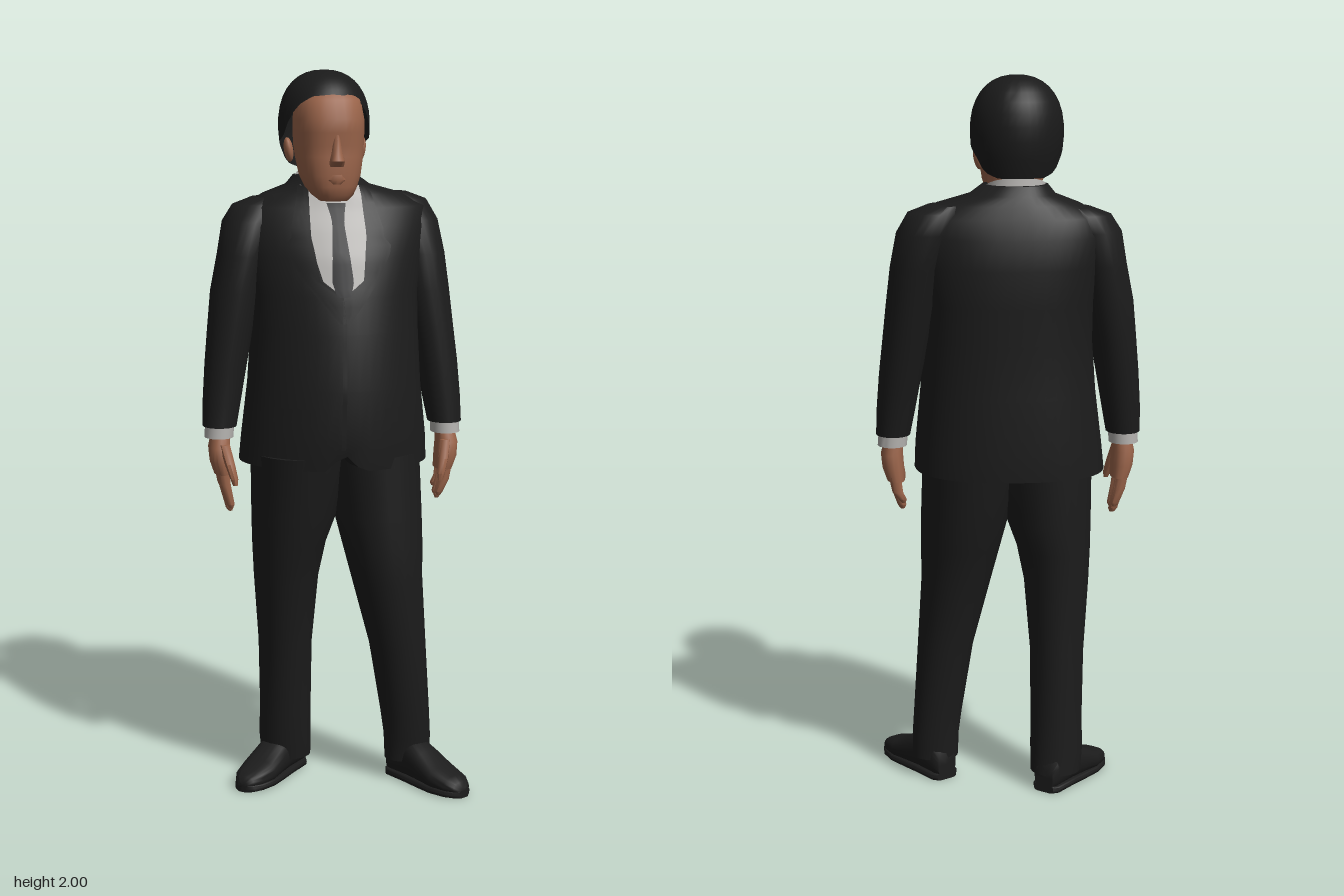
import * as THREE from 'three';
import { toCreasedNormals } from 'three/addons/utils/BufferGeometryUtils.js';

const mat = (name, color) => {
  const m = new THREE.MeshStandardMaterial({ color, side: THREE.DoubleSide });
  m.name = name;
  return m;
};

// Mesh from indexed points, smooth except at sharp edges
function build(points, index, crease = 0.8) {
  const g = new THREE.BufferGeometry();
  g.setAttribute('position', new THREE.Float32BufferAttribute(points, 3));
  g.setIndex(index);
  return toCreasedNormals(g, crease);
}

// Skin over rounded rings [y, x0, x1, z0, z1]; p sets how square the front is, pBack the back
function loft(rings, { p = 2.3, pBack = p, segs = 24, cap = true, rule } = {}) {
  rings = [...rings].sort((a, b) => a[0] - b[0]);
  const pts = [], idx = [], n = rings.length;
  const put = (x, y, z) => {
    const q = new THREE.Vector3(x, y, z);
    if (rule) rule(q);
    pts.push(q.x, q.y, q.z);
  };
  for (const [y, x0, x1, z0, z1] of rings) {
    for (let j = 0; j < segs; j++) {
      const a = j / segs * Math.PI * 2, e = 2 / (j <= segs / 2 ? p : pBack);
      const pow = v => Math.sign(v) * Math.abs(v) ** e;
      put((x0 + x1) / 2 + Math.abs(x1 - x0) / 2 * pow(Math.cos(a)), y,
        (z0 + z1) / 2 + Math.abs(z1 - z0) / 2 * pow(Math.sin(a)));
    }
  }
  for (let i = 0; i < n - 1; i++) for (let j = 0; j < segs; j++) {
    const a = i * segs + j, b = i * segs + (j + 1) % segs;
    idx.push(a, a + segs, b, b, a + segs, b + segs);
  }
  if (cap) [0, n - 1].forEach((i, top) => {
    const [y, x0, x1, z0, z1] = rings[i], c = pts.length / 3;
    put((x0 + x1) / 2, y, (z0 + z1) / 2);
    for (let j = 0; j < segs; j++) {
      const a = i * segs + j, b = i * segs + (j + 1) % segs;
      top ? idx.push(c, b, a) : idx.push(c, a, b);
    }
  });
  return build(pts, idx);
}

// Linear interpolation in a list of [key, ...values] with rising keys
function lookup(table, k) {
  let i = 0;
  while (i < table.length - 2 && k > table[i + 1][0]) i++;
  const a = table[i], b = table[i + 1];
  const t = THREE.MathUtils.clamp((k - a[0]) / (b[0] - a[0]), 0, 1);
  return a.map((v, m) => v + (b[m] - v) * t);
}

// Jacket rings; the left side is turned slightly forward
const CHEST_P = 1.85, TWIST = 0.06;
const TORSO = [
  [0.93, -0.262, 0.258, -0.233, 0.187], [1.0, -0.255, 0.255, -0.238, 0.195],
  [1.15, -0.237, 0.24, -0.233, 0.193], [1.3, -0.225, 0.235, -0.232, 0.168],
  [1.4, -0.23, 0.237, -0.237, 0.146], [1.5, -0.245, 0.255, -0.237, 0.114],
  [1.58, -0.26, 0.27, -0.226, 0.075], [1.63, -0.245, 0.265, -0.208, 0.045],
  [1.665, -0.185, 0.2, -0.195, 0.033], [1.69, -0.12, 0.11, -0.182, 0.022], [1.715, -0.1, 0.075, -0.165, 0.01],
];

// Depth of the chest surface at x, y
function chestZ(x, y) {
  const [, x0, x1, z0, z1] = lookup(TORSO, y);
  const u = Math.min(1, Math.abs((x - (x0 + x1) / 2) / ((x1 - x0) / 2)));
  return (z0 + z1) / 2 + (z1 - z0) / 2 * (1 - u ** CHEST_P) ** (1 / CHEST_P) + x * TWIST;
}

// Thin cloth panel lying on the chest, rows [y, xLeft, xRight] from low to high
function panel(rows, lift) {
  const pts = [], idx = [], nx = 6, ny = 16;
  for (let i = 0; i <= ny; i++) {
    const y = rows[0][0] + (rows[rows.length - 1][0] - rows[0][0]) * i / ny;
    const [, a, b] = lookup(rows, y);
    for (let j = 0; j <= nx; j++) {
      const x = Math.min(a, b) + Math.abs(b - a) * j / nx;
      pts.push(x, y, chestZ(x, y) + lift);
      if (i < ny && j < nx) {
        const k = i * (nx + 1) + j, u = k + nx + 1;
        idx.push(k, k + 1, u, k + 1, u + 1, u);
      }
    }
  }
  return build(pts, idx);
}

// Hair cap whose lower edge follows the hairline around the head
function hairCap() {
  const edge = [[0, 1.935], [0.5, 1.93], [0.85, 1.905], [1.1, 1.86], [1.3, 1.82], [1.6, 1.81],
    [1.85, 1.795], [2.1, 1.75], [2.5, 1.735], [3.15, 1.735]];
  const pts = [], idx = [], n = 40, m = 10;
  for (let i = 0; i <= m; i++) for (let j = 0; j <= n; j++) {
    const a = j / n * Math.PI * 2;
    const low = (lookup(edge, Math.min(a, Math.PI * 2 - a))[1] - 1.85) / 0.15;
    const v = 1 - (1 - low) * (i / m) ** 2;
    const r = v > 0 ? (1 - v ** 2.3) ** (1 / 2.3) : 1 - 0.3 * v * v;
    const c = Math.cos(a);
    pts.push(-0.02 + 0.125 * r * Math.sin(a), 1.85 + 0.15 * v, -0.06 + (c > 0 ? 0.15 : 0.125) * r * c);
    if (i < m && j < n) {
      const k = i * (n + 1) + j, d = k + n + 1;
      idx.push(k, d, k + 1, k + 1, d, d + 1);
    }
  }
  return build(pts, idx, 1.2);
}

export function createModel() {
  const model = new THREE.Group();
  const suit = mat('suit cloth', 0x1c1c1c), hairMat = mat('hair', 0x1a1a1a), skin = mat('skin', 0x9a644a);
  const shirt = mat('shirt cloth', 0xb5b3b0), tieMat = mat('tie cloth', 0x18181a);
  const add = (name, geo, m, parent = model) => {
    const mesh = new THREE.Mesh(geo, m);
    mesh.name = name;
    parent.add(mesh);
    return mesh;
  };

  // Jacket, with the front hem parted in the middle
  add('jacket', loft(TORSO, { p: CHEST_P, pBack: 2.4, segs: 48, rule: q => {
    if (q.y < 0.94 && q.z > 0) q.y += 0.05 * Math.max(0, 1 - Math.abs(q.x + 0.01) / 0.05);
    q.z += q.x * TWIST;
  } }), suit);
  add('shirtFront', panel([[1.405, -0.012, 0.012], [1.44, -0.056, 0.056], [1.5, -0.073, 0.066],
    [1.6, -0.09, 0.077], [1.69, -0.088, 0.072]], 0.003), shirt);
  add('tie', panel([[1.39, -0.02, 0.012], [1.44, -0.034, 0.024], [1.59, -0.022, 0.01],
    [1.605, -0.022, 0.012], [1.645, -0.032, 0.02]], 0.007), tieMat);
  for (const s of [1, -1]) {
    const rows = [[1.33, -0.005, 0.015], [1.4, 0.0, 0.07], [1.44, 0.058, 0.1], [1.53, 0.07, 0.15],
      [1.545, 0.073, 0.115], [1.56, 0.075, 0.13], [1.69, 0.07, 0.095]];
    add('lapel', panel(rows.map(([y, a, b]) => [y, s * a - 0.006, s * b - 0.006]), 0.007), suit);
    add('pocketFlap', panel([[1.06, s * 0.1, s * 0.19], [1.1, s * 0.1, s * 0.19]], 0.005), suit);
  }
  add('frontEdge', panel([[0.99, -0.02, -0.008], [1.34, -0.012, 0]], 0.003), suit);

  // Neck and shirt collar, higher at the back
  add('neck', loft([[1.58, -0.085, 0.055, -0.13, 0.015], [1.8, -0.09, 0.06, -0.13, 0.015]]), skin);
  add('collar', loft([[1.655, -0.103, 0.075, -0.155, 0.042], [1.705, -0.097, 0.068, -0.15, 0.032]],
    { cap: false, rule: q => { q.y -= (q.z + 0.06) * 0.35; } }), shirt);

  // Head, with a broad flat face
  add('head', loft([[1.652, -0.05, 0.025, 0.0, 0.08], [1.668, -0.07, 0.042, -0.03, 0.093],
    [1.69, -0.086, 0.055, -0.07, 0.097], [1.72, -0.098, 0.066, -0.1, 0.101], [1.77, -0.106, 0.075, -0.13, 0.1],
    [1.8, -0.109, 0.078, -0.14, 0.098], [1.835, -0.11, 0.079, -0.15, 0.106], [1.87, -0.11, 0.079, -0.15, 0.104],
    [1.92, -0.102, 0.071, -0.14, 0.085], [1.96, -0.075, 0.045, -0.1, 0.035]], { p: 2.5, pBack: 2.2, segs: 32 }), skin);
  add('nose', loft([[1.745, -0.034, 0.006, 0.08, 0.108], [1.76, -0.035, 0.007, 0.08, 0.126],
    [1.785, -0.028, 0.0, 0.08, 0.116], [1.83, -0.022, -0.006, 0.08, 0.105]], { p: 2, segs: 12 }), skin);
  add('lips', loft([[1.698, -0.03, 0.002, 0.08, 0.1], [1.71, -0.04, 0.012, 0.08, 0.105],
    [1.724, -0.034, 0.006, 0.08, 0.103]], { p: 2, segs: 12 }), skin);
  for (const s of [1, -1]) {
    const ear = add('ear', new THREE.SphereGeometry(1, 12, 8), skin);
    ear.scale.set(0.013, 0.034, 0.02);
    ear.position.set(-0.017 + s * 0.101, 1.785, -0.06);
    ear.rotation.z = -s * 0.15;
  }
  add('hair', hairCap(), hairMat);

  // Arms, cuffs and hands; the right arm hangs further back
  for (const s of [1, -1]) {
    const arm = new THREE.Group();
    arm.name = s > 0 ? 'leftArm' : 'rightArm';
    model.add(arm);
    const shift = s > 0 ? 0.01 : 0;
    const limb = (name, rows, m, p, segs) => add(name, loft(rows.map(([y, a, b, c, d]) => [y, s * a, s * b, c, d]), {
      p, segs, rule: q => { if (s < 0) q.z -= 0.032 * THREE.MathUtils.clamp((1.6 - q.y) / 0.5, 0, 1); },
    }), m, arm);
    limb('sleeve', [[1.655 + shift, 0.13, 0.215 + shift, -0.165, -0.05],
      [1.635 + shift, 0.12, 0.268 + shift, -0.183, -0.03], [1.59, 0.14, 0.298 + shift, -0.19, -0.002],
      [1.5, 0.175, 0.314 + shift, -0.178, 0.018], [1.4, 0.195, 0.335, -0.158, 0.026],
      [1.3, 0.218, 0.345, -0.138, 0.029], [1.2, 0.238, 0.355, -0.112, 0.032],
      [1.1, 0.256, 0.362, -0.09, 0.034], [1.027, 0.27, 0.364, -0.075, 0.035]], suit, 2.05, 24);
    limb('cuff', [[1.05, 0.276, 0.356, -0.067, 0.027], [0.996, 0.279, 0.36, -0.066, 0.029]], shirt, 2.05, 24);
    limb('palm', [[1.01, 0.29, 0.342, -0.045, 0.018], [0.97, 0.29, 0.351, -0.054, 0.037],
      [0.93, 0.287, 0.347, -0.058, 0.044], [0.895, 0.286, 0.335, -0.056, 0.037]], skin, 2.3, 16);
    for (let i = 0; i < 4; i++) {
      const z = -0.043 + i * 0.022, tip = [0.835, 0.815, 0.808, 0.82][i] - (s < 0 ? 0.02 : 0);
      limb('finger', [[0.92, 0.3, 0.333, z - 0.013, z + 0.013], [0.865, 0.293, 0.322, z - 0.012, z + 0.012],
        [tip + 0.01, 0.283, 0.305, z - 0.009, z + 0.009], [tip, 0.287, 0.297, z - 0.004, z + 0.004]], skin, 2, 8);
    }
    limb('thumb', [[0.98, 0.295, 0.325, 0.01, 0.04], [0.93, 0.285, 0.313, 0.034, 0.064],
      [0.89, 0.278, 0.3, 0.052, 0.075], [0.872, 0.28, 0.293, 0.06, 0.072]], skin, 2, 8);
  }

  // Trouser legs, the left one forward
  add('rightTrouserLeg', loft([[0.96, -0.235, 0.03, -0.18, 0.16], [0.78, -0.232, 0.004, -0.175, 0.13],
    [0.7, -0.23, -0.025, -0.165, 0.11], [0.6, -0.225, -0.045, -0.155, 0.085], [0.4, -0.21, -0.06, -0.15, 0.04],
    [0.2, -0.205, -0.06, -0.15, 0.008], [0.12, -0.207, -0.058, -0.15, -0.005],
    [0.05, -0.2, -0.058, -0.152, -0.02]], { p: 2.05 }), suit);
  add('leftTrouserLeg', loft([[0.96, -0.03, 0.235, -0.17, 0.165], [0.78, -0.004, 0.24, -0.14, 0.17],
    [0.7, 0.015, 0.24, -0.115, 0.172], [0.6, 0.04, 0.238, -0.09, 0.17], [0.4, 0.092, 0.25, -0.05, 0.138],
    [0.2, 0.125, 0.263, -0.03, 0.116], [0.13, 0.135, 0.268, -0.022, 0.1],
    [0.06, 0.138, 0.268, -0.015, 0.09]], { p: 2.05 }), suit);

  // Shoes turned outward, swept from heel to toe
  for (const [name, x, z, yaw] of [['leftShoe', 0.197, 0.028, 0.52], ['rightShoe', -0.118, -0.105, -0.72]]) {
    const shoe = new THREE.Group();
    shoe.name = name;
    shoe.position.set(x, 0, z);
    shoe.rotation.y = yaw;
    model.add(shoe);
    const rows = [[-0.045, 0.03, 0.08], [-0.03, 0.042, 0.11], [0.05, 0.046, 0.125], [0.1, 0.051, 0.1],
      [0.16, 0.055, 0.068], [0.21, 0.045, 0.055], [0.235, 0.03, 0.043], [0.246, 0.015, 0.03]];
    add('shoeUpper', loft(rows.map(([l, w, h]) => [l, -w, w, -h, -0.006]), { p: 2.5 }).rotateX(Math.PI / 2), suit, shoe);
    add('sole', loft(rows.map(([l, w]) => [l, -w - 0.002, w + 0.002, -0.022, 0]), { p: 5 })
      .rotateX(Math.PI / 2), suit, shoe);
  }
  return model;
}
